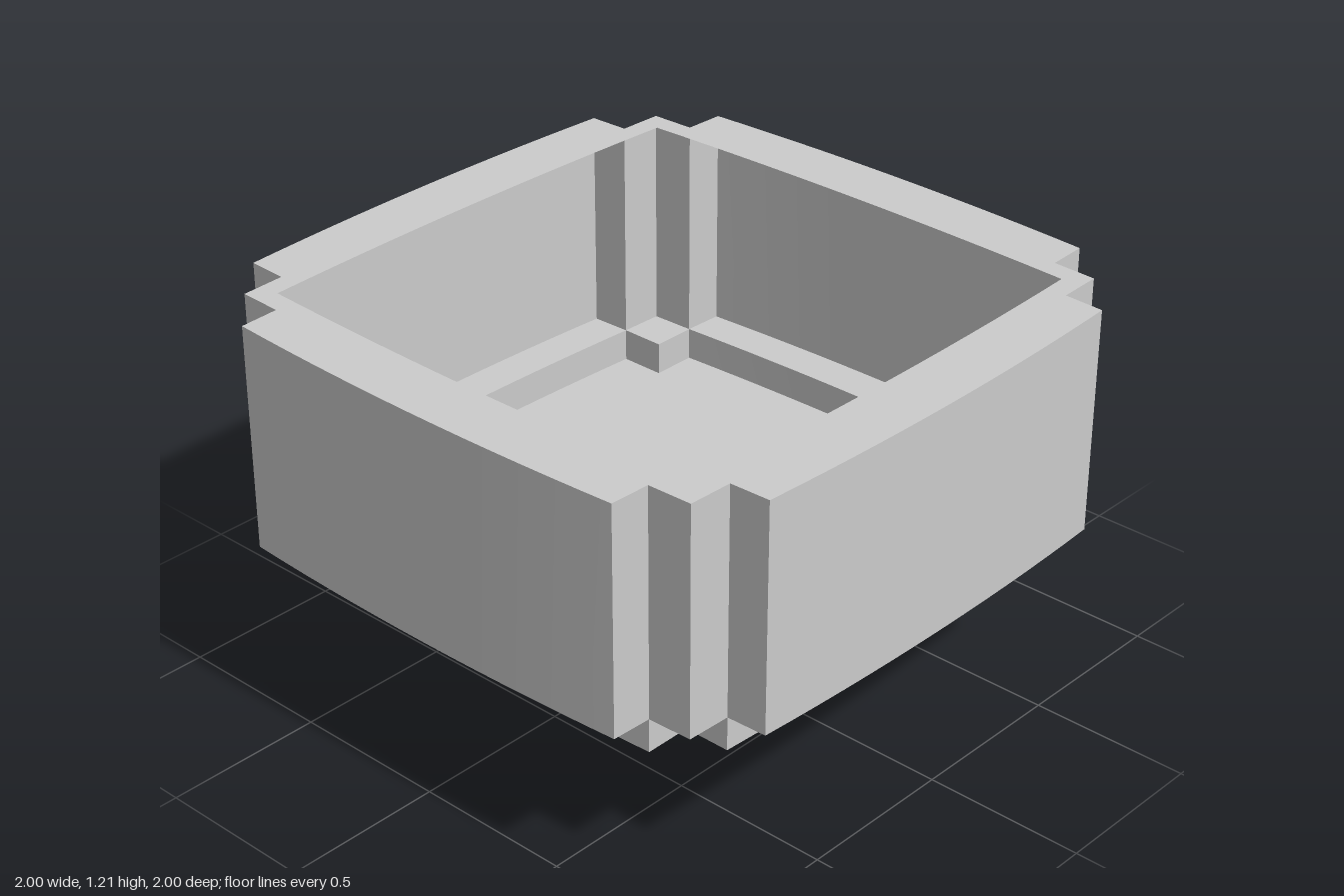
import * as THREE from 'three';
import { toCreasedNormals } from 'three/addons/utils/BufferGeometryUtils.js';

const material = new THREE.MeshStandardMaterial({ color: 0xcccccc, side: THREE.DoubleSide });

// Closed outline of four bulging sides joined by stepped corners
function outline(mid, end, half, steps) {
  const points = [], segments = 14;
  for (let k = 0; k < 4; k++) {
    const side = [];
    const last = steps.length ? segments : segments - 1;
    for (let i = 0; i <= last; i++) {
      const t = (i / segments) * 2 - 1;
      side.push([mid - (mid - end) * t * t, half * t]);
    }
    for (let [x, y] of [...side, ...steps]) {
      for (let r = 0; r < k; r++) [x, y] = [-y, x];
      points.push(new THREE.Vector2(x, y));
    }
  }
  return points;
}

// Upright wall following an outline
function wall(points, y0, y1) {
  const position = [];
  points.forEach((a, i) => {
    const b = points[(i + 1) % points.length];
    const p = [a.x, y0, -a.y], q = [b.x, y0, -b.y];
    const r = [b.x, y1, -b.y], s = [a.x, y1, -a.y];
    position.push(...p, ...q, ...r, ...p, ...r, ...s);
  });
  const geometry = new THREE.BufferGeometry();
  geometry.setAttribute('position', new THREE.Float32BufferAttribute(position, 3));
  return toCreasedNormals(geometry, 0.4);
}

// Level sheet with an optional opening
function sheet(points, y, hole) {
  const shape = new THREE.Shape(points);
  if (hole) shape.holes.push(new THREE.Path(hole));
  return new THREE.ShapeGeometry(shape).rotateX(-Math.PI / 2).translate(0, y, 0);
}

export function createModel() {
  const model = new THREE.Group();
  model.name = 'bowl';
  const add = (name, geometry, parent = model) => {
    const mesh = new THREE.Mesh(geometry, material);
    mesh.name = name;
    parent.add(mesh);
  };

  // Hollow shell with an inward rim and a narrower base
  const outer = outline(1, 0.977, 0.7, [[0.85, 0.705], [0.845, 0.845], [0.705, 0.85]]);
  const opening = outline(0.8, 0.78, 0.78, []);
  const base = outline(0.87, 0.85, 0.705, [[0.705, 0.705]]);
  add('outerWall', wall(outer, 0.51, 1.22));
  add('rim', sheet(outer, 1.22, opening));
  add('ledge', sheet(outer, 0.51, base));
  add('baseWall', wall(base, 0.405, 0.51));
  add('floor', sheet(base, 0.405));

  // Stepped plates below the floor
  add('upperPlate', new THREE.BoxGeometry(0.34, 0.029, 0.34).translate(0, 0.3925, 0));
  add('lowerPlate', new THREE.BoxGeometry(0.275, 0.035, 0.275).translate(0, 0.3625, 0));

  // Stepped stem with a hooked end
  const stem = new THREE.Shape([
    [-0.03, 0.345], [-0.03, 0.155], [-0.095, 0.155], [-0.095, 0.1], [-0.16, 0.1], [-0.16, 0.04],
    [-0.04, 0.04], [-0.04, 0.1], [0.025, 0.1], [0.037, 0.245], [0.037, 0.345],
  ].map(([x, y]) => new THREE.Vector2(x, y)));
  add('stem', new THREE.ExtrudeGeometry(stem, { depth: 0.068, bevelEnabled: false }).translate(0, 0, -0.033));

  // Leaf in stepped columns, tilted, then curled towards the back
  const leaf = new THREE.Group();
  leaf.name = 'leaf';
  model.add(leaf);
  const columns = [ // left, right, bottom, top
    [0.08, 0.13, 0.235, 0.335], [0.13, 0.183, 0.075, 0.284], [0.183, 0.287, 0.014, 0.284],
    [0.287, 0.393, -0.035, 0.229], [0.393, 0.442, -0.035, 0.124],
  ];
  for (const [u0, u1, v0, v1] of columns) {
    const geometry = new THREE.BoxGeometry(u1 - u0, v1 - v0, 0.018, 4, 4, 1);
    geometry.translate((u0 + u1) / 2, (v0 + v1) / 2, 0).rotateZ(0.143);
    const position = geometry.attributes.position;
    for (let i = 0; i < position.count; i++) {
      const dx = position.getX(i) - 0.05;
      position.setZ(i, position.getZ(i) + 0.022 - 0.75 * dx * dx);
    }
    geometry.computeVertexNormals();
    add('leafColumn', geometry, leaf);
  }
  return model;
}
